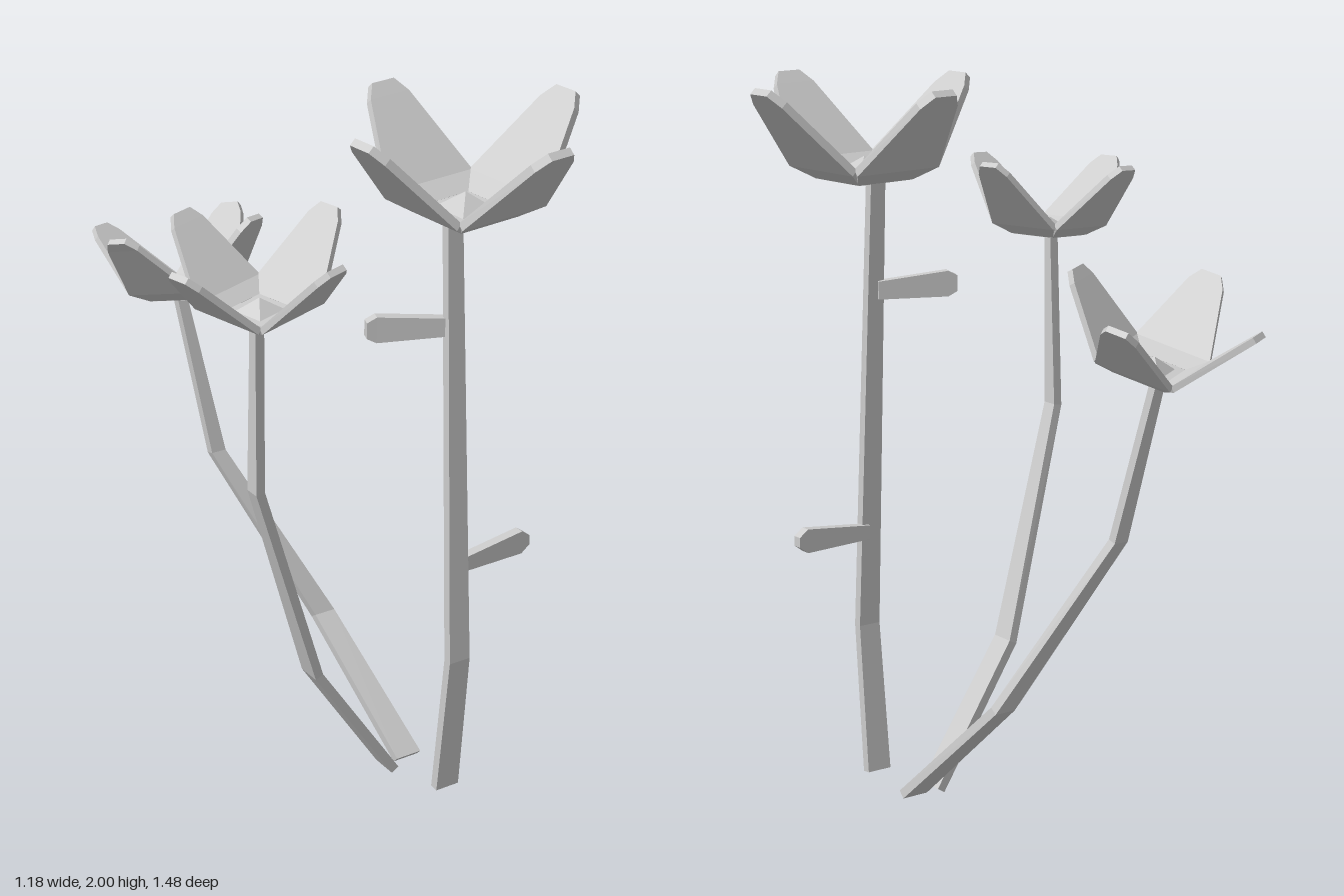
import * as THREE from 'three';

const material = new THREE.MeshStandardMaterial({ color: 0xcccccc, flatShading: true });

// Four-sided bar through stations [x, y, z, halfWidth], widened along `wide`.
function loft(stations, wide, halfThick) {
  const w = new THREE.Vector3(...wide);
  const pts = stations.map(([x, y, z]) => new THREE.Vector3(x, y, z));
  const pos = [], idx = [];
  pts.forEach((p, i) => {
    const tangent = new THREE.Vector3();
    if (i > 0) tangent.add(p.clone().sub(pts[i - 1]).normalize());
    if (i < pts.length - 1) tangent.add(pts[i + 1].clone().sub(p).normalize());
    const n = tangent.cross(w).normalize();
    for (const [a, b] of [[-1, -1], [1, -1], [1, 1], [-1, 1]]) {
      const c = p.clone().addScaledVector(w, a * stations[i][3]).addScaledVector(n, b * halfThick);
      pos.push(c.x, c.y, c.z);
    }
  });
  const last = (pts.length - 1) * 4;
  for (let s = 0; s < last; s += 4) {
    for (let k = 0; k < 4; k++) {
      const a = s + k, b = s + (k + 1) % 4;
      idx.push(a, b, b + 4, a, b + 4, a + 4);
    }
  }
  idx.push(0, 3, 2, 0, 2, 1, last, last + 1, last + 2, last, last + 2, last + 3);
  const g = new THREE.BufferGeometry();
  g.setAttribute('position', new THREE.Float32BufferAttribute(pos, 3));
  g.setIndex(idx);
  const flat = g.toNonIndexed();
  flat.computeVertexNormals();
  return flat;
}

function addMesh(parent, name, geometry) {
  const mesh = new THREE.Mesh(geometry, material);
  mesh.name = name;
  parent.add(mesh);
  return mesh;
}

// One petal, reaching out along +z from the flower centre
const petalGeometry = loft([
  [0, 0.012, 0.088, 0.095],
  [0, 0.046, 0.142, 0.14],
  [0, 0.232, 0.312, 0.064],
  [0, 0.263, 0.341, 0.036],
], [1, 0, 0], 0.011);

// Square base plate and the small pyramid in the middle
const plateGeometry = new THREE.CylinderGeometry(0.125, 0.125, 0.02, 4).rotateY(Math.PI / 4).translate(0, 0.011, 0);
const pistilGeometry = new THREE.ConeGeometry(0.08, 0.045, 4).rotateY(Math.PI / 4).translate(0, 0.043, 0);

function makeFlower({ at, size, yaw, tiltX, tiltZ }) {
  const flower = new THREE.Group();
  flower.name = 'flower';
  for (let i = 0; i < 4; i++) {
    addMesh(flower, 'petal', petalGeometry).rotation.y = i * Math.PI / 2;
  }
  addMesh(flower, 'flowerBase', plateGeometry);
  addMesh(flower, 'pistil', pistilGeometry);
  flower.position.set(...at);
  flower.scale.setScalar(size);
  flower.rotation.set(tiltX, yaw, tiltZ, 'ZXY');
  return flower;
}

export function createModel() {
  const model = new THREE.Group();
  model.name = 'flowers';

  const plants = [
    {
      name: 'tallPlant', wide: [1, 0, 0],
      stem: [[0.22, 0.02, 0.388, 0.037], [0.22, 0.45, 0.43, 0.033], [0.215, 1.745, 0.362, 0.023]],
      flower: { at: [0.237, 1.73, 0.385], size: 1, yaw: 0.1, tiltX: 0, tiltZ: 0 },
    },
    {
      name: 'rightPlant', wide: [0, 0, 1],
      stem: [[0.152, 0.01, 0.2, 0.04], [-0.105, 0.4, 0.205, 0.036], [-0.325, 1.05, 0.278, 0.023], [-0.332, 1.55, 0.3, 0.014]],
      flower: { at: [-0.31, 1.54, 0.28], size: 0.79, yaw: 0.25, tiltX: 0.03, tiltZ: 0.06 },
    },
    {
      name: 'backPlant', wide: [1, 0, 0],
      stem: [[0.22, 0.01, 0.2, 0.04], [0.15, 0.34, -0.14, 0.032], [-0.07, 0.83, -0.36, 0.022], [-0.125, 1.3, -0.46, 0.015]],
      flower: { at: [-0.11, 1.29, -0.44], size: 0.79, yaw: 0.44, tiltX: -0.28, tiltZ: 0 },
    },
  ];
  for (const { name, wide, stem, flower } of plants) {
    const plant = new THREE.Group();
    plant.name = name;
    addMesh(plant, 'stem', loft(stem, wide, 0.013));
    plant.add(makeFlower(flower));
    model.add(plant);
  }

  // Two short leaves on the tall stem
  const leaves = [
    [[0.23, 0.73, 0.405, 0.02], [0.44, 0.74, 0.397, 0.034], [0.467, 0.74, 0.396, 0.014]],
    [[0.21, 1.425, 0.368, 0.025], [0.025, 1.435, 0.3, 0.036], [0, 1.435, 0.291, 0.022]],
  ];
  for (const leaf of leaves) addMesh(model.children[0], 'leaf', loft(leaf, [0, 1, 0], 0.014));

  return model;
}
